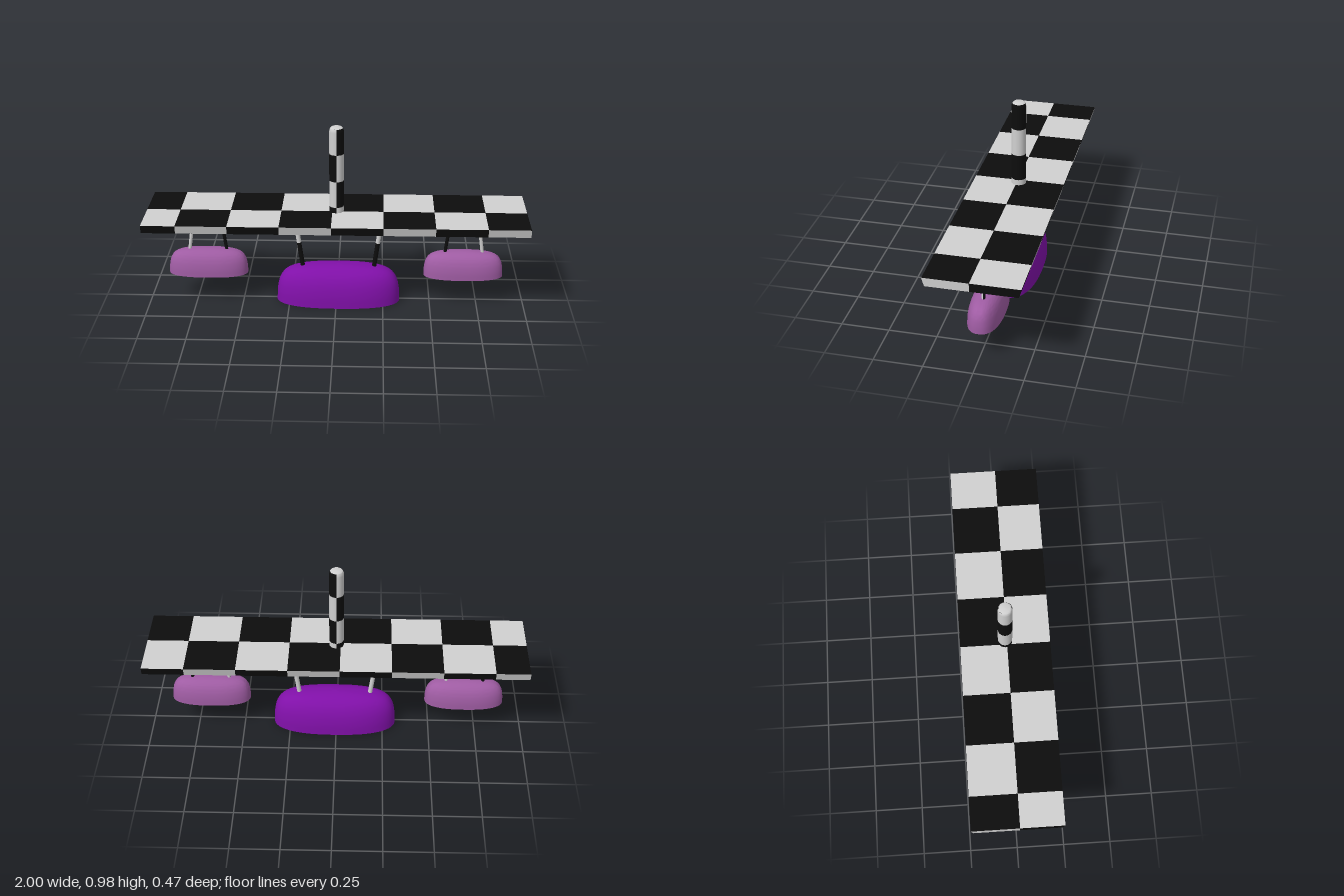
import * as THREE from 'three';
import { toCreasedNormals } from 'three/addons/utils/BufferGeometryUtils.js';

const mat = (name, color, side = THREE.FrontSide) => {
  const m = new THREE.MeshStandardMaterial({ color, side });
  m.name = name;
  return m;
};

export function createModel() {
  const model = new THREE.Group();
  const light = mat('paleGrey', 0xd0d0d0);
  const black = mat('black', 0x0d0d0d);
  const purple = mat('purple', 0x8010a8);
  const mauve = mat('mauve', 0x9f5ca3);
  const grey = mat('panelGrey', 0x8f9694);
  const pick = (isLight) => (isLight ? light : black);

  const add = (name, geometry, material, parent = model) => {
    const mesh = new THREE.Mesh(geometry, material);
    mesh.name = name;
    parent.add(mesh);
    return mesh;
  };

  // Chequered mounting board: tapered tiles, the top pattern is the reverse of the sides
  const board = new THREE.Group();
  board.name = 'board';
  model.add(board);
  const xs = [-1, -0.823, -0.557, -0.29, -0.022, 0.247, 0.515, 0.782, 1];
  const zs = [-0.237, 0.01, 0.237];
  const yBottom = 0.465, yTop = 0.51;
  for (let i = 0; i < 8; i++) {
    for (let j = 0; j < 2; j++) {
      const g = new THREE.BoxGeometry(xs[i + 1] - xs[i], yTop - yBottom, zs[j + 1] - zs[j]);
      g.translate((xs[i] + xs[i + 1]) / 2, (yTop + yBottom) / 2, (zs[j] + zs[j + 1]) / 2);
      const p = g.attributes.position;
      for (let k = 0; k < p.count; k++) {
        if (p.getY(k) < 0.48 && Math.abs(p.getZ(k)) > 0.1) p.setZ(k, p.getZ(k) * 0.95);
      }
      const flat = g.toNonIndexed();
      flat.computeVertexNormals();
      const side = pick((i + j) % 2 === 0);
      const top = pick((i + j) % 2 === 1);
      add('boardTile', flat, [side, side, top, side, side, side], board);
    }
  }

  // Chequered post: two half-round columns of alternating bands, with a rounded top
  const post = new THREE.Group();
  post.name = 'post';
  model.add(post);
  const R = 0.038;
  const bands = [
    [[R, 0.505], [R, 0.54]],
    [[R, 0.54], [R, 0.683]],
    [[R, 0.683], [R, 0.83]],
    [[R, 0.83], [R, 0.95], [0.0365, 0.961], [0.033, 0.969]],
  ];
  const lathe = (pts, start, length) =>
    new THREE.LatheGeometry(pts.map((q) => new THREE.Vector2(...q)), 16, start, length);
  bands.forEach((pts, i) => {
    add('postBand', lathe(pts, 0, Math.PI), pick(i % 2 === 0), post);
    add('postBand', lathe(pts, Math.PI, Math.PI), pick(i % 2 === 1), post);
  });
  add('postCap', lathe([[0.033, 0.969], [0.026, 0.975], [0, 0.976]], 0, Math.PI * 2), light, post);

  // Thin hanging rod, front and back halves banded in opposite order
  const rod = (x0, y0, x1, y1, r, frontUpperLight) => {
    const group = new THREE.Group();
    group.name = 'rod';
    const bottom = new THREE.Vector3(x1, y1, 0);
    const dir = new THREE.Vector3(x0, y0, 0).sub(bottom);
    const half = dir.length() / 2;
    group.position.copy(bottom);
    group.quaternion.setFromUnitVectors(new THREE.Vector3(0, 1, 0), dir.normalize());
    for (let level = 0; level < 2; level++) {
      for (let back = 0; back < 2; back++) {
        const g = new THREE.CylinderGeometry(r, r, half, 8, 1, true, -Math.PI / 2 + back * Math.PI, Math.PI);
        g.translate(0, half * (level + 0.5), 0);
        add('rodBand', g, pick(((level + back) % 2 === 1) === frontUpperLight), group);
      }
    }
    model.add(group);
  };

  // Oval outline with full, rounded ends
  const oval = (u, a, b) => {
    const f = (v) => Math.sign(v) * Math.pow(Math.abs(v), 0.82);
    return [a * f(Math.cos(u)), b * f(Math.sin(u))];
  };

  // Hollow shade lofted from oval cross-sections: inner wall, rim, then outer dome
  const dome = new THREE.CatmullRomCurve3([
    [1, 0, 1], [0.99, 0.3, 0.97], [0.95, 0.58, 0.87], [0.86, 0.78, 0.71],
    [0.7, 0.9, 0.51], [0.42, 0.965, 0.3], [0, 1, 0],
  ].map((q) => new THREE.Vector3(...q))).getPoints(24);

  const shade = (name, cx, y0, a, b, h, material) => {
    const N = 64, wall = 0.012, panelY = 0.4 * h;
    const rings = [[a * 0.98 - wall, panelY, b * 0.95 - wall], [a - wall, 0, b - wall]];
    dome.forEach((q) => rings.push([a * q.x, h * q.y, b * q.z]));
    const pos = [], index = [];
    rings.forEach(([ra, y, rb]) => {
      for (let j = 0; j < N; j++) {
        const [x, z] = oval((j / N) * Math.PI * 2, ra, rb);
        pos.push(x, y, z);
      }
    });
    for (let i = 0; i < rings.length - 1; i++) {
      for (let j = 0; j < N; j++) {
        const p = i * N + j, q = i * N + ((j + 1) % N);
        index.push(p, p + N, q, q, p + N, q + N);
      }
    }
    const g = new THREE.BufferGeometry();
    g.setAttribute('position', new THREE.Float32BufferAttribute(pos, 3));
    g.setIndex(index);
    const group = new THREE.Group();
    group.name = name;
    group.position.set(cx, y0, 0);
    add('shadeShell', toCreasedNormals(g, 0.7), material, group);

    // Panel closing the inside of the shade, facing down
    const outline = [];
    for (let j = 0; j < N; j++) {
      outline.push(new THREE.Vector2(...oval((j / N) * Math.PI * 2, rings[0][0], rings[0][2])));
    }
    const panel = new THREE.ShapeGeometry(new THREE.Shape(outline));
    panel.rotateX(Math.PI / 2);
    add('lightPanel', panel, grey, group).position.y = panelY;
    model.add(group);
  };

  // Large middle lamp
  shade('middleShade', 0.01, 0, 0.33, 0.137, 0.207, purple);
  rod(-0.22, 0.47, -0.18, 0.18, 0.012, true);
  rod(0.24, 0.47, 0.2, 0.18, 0.012, true);

  // Small outer lamps
  for (const cx of [-0.687, 0.677]) {
    shade('outerShade', cx, 0.15, 0.211, 0.088, 0.139, mauve);
    for (const s of [-1, 1]) {
      rod(cx + s * 0.073, 0.47, cx + s * 0.1, 0.27, 0.009, cx * s < 0);
    }
  }
  return model;
}
